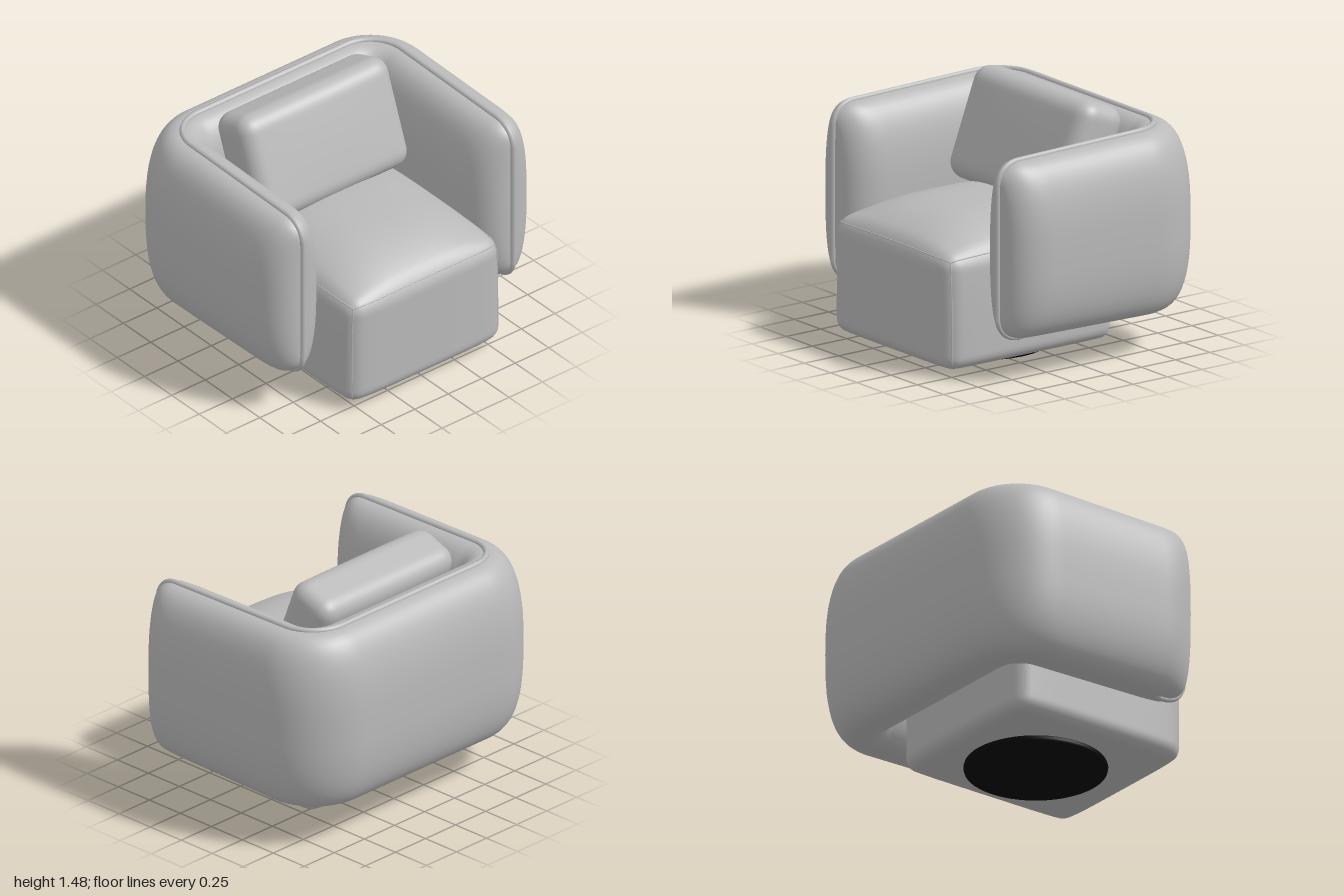
import * as THREE from 'three';
import { mergeVertices } from 'three/addons/utils/BufferGeometryUtils.js';

const fabric = new THREE.MeshStandardMaterial({ color: 0xbababa });
fabric.name = 'grey fabric';
const black = new THREE.MeshStandardMaterial({ color: 0x080808 });
black.name = 'black base';

function addMesh(parent, name, geometry, material) {
  const mesh = new THREE.Mesh(geometry, material);
  mesh.name = name;
  parent.add(mesh);
  return mesh;
}

// Rule that rounds a box point by radius r, then applies a bulge
function roundRule(half, r, bulge) {
  const inner = half.clone().subScalar(r);
  return (p) => {
    const q = p.clone().clamp(inner.clone().negate(), inner);
    const out = p.clone().sub(q).setLength(r).add(q);
    bulge(out);
    return out;
  };
}

// Padded block: dense box, points gathered near the edges, moved by the rule
function paddedBlock(half, rule, n = 32) {
  let geo = new THREE.BoxGeometry(2, 2, 2, n, n, n);
  geo.deleteAttribute('uv');
  geo.deleteAttribute('normal');
  geo = mergeVertices(geo, 1e-4);
  const pos = geo.attributes.position;
  const v = new THREE.Vector3();
  const gather = (t) => Math.sin(t * Math.PI / 2);
  for (let i = 0; i < pos.count; i++) {
    v.fromBufferAttribute(pos, i);
    v.set(gather(v.x), gather(v.y), gather(v.z)).multiply(half);
    const o = rule(v);
    pos.setXYZ(i, o.x, o.y, o.z);
  }
  geo.computeVertexNormals();
  return geo;
}

function tube(points, radius, segments) {
  return new THREE.TubeGeometry(new THREE.CatmullRomCurve3(points), segments, radius, 8);
}

// Stations of the wrap-around arms and back: place, outward direction, half sizes
const MID = 0.797, ARM_X = 0.785, FRONT = 0.63, BACK = -0.62, R = 0.23;
function wrapStations() {
  const half = [];
  const add = (x, z, nx, nz) => {
    const u = THREE.MathUtils.clamp((z - FRONT + 0.27) / 0.27, 0, 1);
    const c = THREE.MathUtils.clamp((z - FRONT + 0.14) / 0.14, 0, 1);
    const w = 0.215 * Math.pow(1 - Math.pow(u, 2.3), 1 / 2.3);
    const h = 0.542 - 0.02 * z - 0.13 * (1 - Math.sqrt(1 - c * c));
    half.push({ x, z, nx, nz, w, h });
  };
  for (let i = 0; i < 16; i++) add(ARM_X, FRONT - 0.27 + 0.27 * Math.cos(i / 16 * Math.PI / 2), 1, 0);
  for (let i = 0; i < 8; i++) add(ARM_X, THREE.MathUtils.lerp(FRONT - 0.27, BACK + R, i / 8), 1, 0);
  for (let i = 0; i < 16; i++) {
    const a = i / 16 * Math.PI / 2;
    add(ARM_X - R + R * Math.cos(a), BACK + R - R * Math.sin(a), Math.cos(a), -Math.sin(a));
  }
  for (let i = 0; i <= 6; i++) add((ARM_X - R) * (1 - i / 6), BACK, 0, -1);
  return half;
}

function wrapGeometry(half) {
  const mirrored = half.slice(0, -1).reverse().map((s) => ({ ...s, x: -s.x, nx: -s.nx }));
  const stations = [...half, ...mirrored];
  const N = 56, positions = [], index = [];
  stations.forEach((s, i) => {
    for (let j = 0; j < N; j++) {
      const a = j / N * Math.PI * 2, ca = Math.cos(a), sa = Math.sin(a);
      const e = sa > 0 ? 2 / 2.5 : 2 / 2.8;
      const n = s.w * Math.sign(ca) * Math.pow(Math.abs(ca), e);
      const y = MID + s.h * Math.sign(sa) * Math.pow(Math.abs(sa), e);
      positions.push(s.x + s.nx * n, y, s.z + s.nz * n);
      if (i < stations.length - 1) {
        const A = i * N + j, B = i * N + (j + 1) % N;
        index.push(A, A + N, B, B, A + N, B + N);
      }
    }
  });
  const geo = new THREE.BufferGeometry();
  geo.setAttribute('position', new THREE.Float32BufferAttribute(positions, 3));
  geo.setIndex(index);
  geo.computeVertexNormals();
  return geo;
}

// Piping: under the arm tip, up its front, along the top and round the back
function pipingGeometry(half) {
  const tip = half.filter((s) => s.z > 0.45).reverse();
  const side = [new THREE.Vector3(ARM_X, 0.3, 0.43)];
  tip.forEach((s) => side.push(new THREE.Vector3(s.x, MID - s.h, s.z)));
  half.forEach((s) => side.push(new THREE.Vector3(s.x, MID + s.h, s.z)));
  const other = side.slice(0, -1).reverse().map((p) => new THREE.Vector3(-p.x, p.y, p.z));
  return tube([...side, ...other], 0.018, 500);
}

export function createModel() {
  const chair = new THREE.Group();
  chair.name = 'armchair';

  // Wrap-around arms and back
  const half = wrapStations();
  addMesh(chair, 'armsAndBack', wrapGeometry(half), fabric);
  addMesh(chair, 'piping', pipingGeometry(half), fabric);

  // Seat block with a crowned top and softly bowed front
  const seat = new THREE.Group();
  seat.name = 'seat';
  seat.position.set(0, 0.39, 0.21);
  chair.add(seat);
  const seatHalf = new THREE.Vector3(0.582, 0.34, 0.62);
  const seatRule = roundRule(seatHalf, 0.08, (p) => {
    const tx = Math.min(1, Math.abs(p.x) / seatHalf.x);
    const tz = Math.min(1, Math.abs(p.z) / seatHalf.z);
    const lift = Math.pow(Math.max(0, (p.y + 0.34) / 0.68), 4);
    p.y += 0.16 * lift * (1 - tx ** 3) * (1 - tz ** 3);
    p.z *= 1 - 0.05 * tx ** 6;
    p.x *= 1 - 0.03 * tz ** 6 - 0.025 * lift;
  });
  addMesh(seat, 'seatBlock', paddedBlock(seatHalf, seatRule, 40), fabric);

  // Fine seams along the seat's front edges
  const along = (a, b) => Array.from({ length: 33 }, (_, i) =>
    seatRule(new THREE.Vector3().lerpVectors(a, b, i / 32).multiply(seatHalf)));
  const corner = (x, y, z) => new THREE.Vector3(x, y, z);
  addMesh(seat, 'frontSeam', tube(along(corner(-1, 1, 1), corner(1, 1, 1)), 0.004, 80), fabric);
  for (const s of [-1, 1]) {
    addMesh(seat, 'cornerSeam', tube(along(corner(s, -1, 1), corner(s, 1, 1)), 0.004, 60), fabric);
    addMesh(seat, 'sideSeam', tube(along(corner(s, 1, 1), corner(s, 1, -1)), 0.004, 80), fabric);
  }

  // Loose back cushion, leaning backwards
  const cushionHalf = new THREE.Vector3(0.555, 0.34, 0.165);
  const cushionRule = roundRule(cushionHalf, 0.1, (p) => {
    const tx = Math.abs(p.x) / cushionHalf.x, ty = Math.abs(p.y) / cushionHalf.y;
    p.z *= 1 + 0.06 * (1 - tx ** 2) * (1 - ty ** 2);
  });
  const cushion = addMesh(chair, 'backCushion', paddedBlock(cushionHalf, cushionRule), fabric);
  cushion.position.set(0, 1.13, -0.243);
  cushion.rotation.x = -0.36;

  // Round plinth with a softened rim
  const rim = [[0, 0], [0.405, 0], [0.416, 0.006], [0.42, 0.02], [0.416, 0.034], [0.405, 0.04], [0.3, 0.04], [0.3, 0.06]]
    .map(([x, y]) => new THREE.Vector2(x, y));
  const base = addMesh(chair, 'base', new THREE.LatheGeometry(rim, 64), black);
  base.position.z = 0.16;

  return chair;
}
